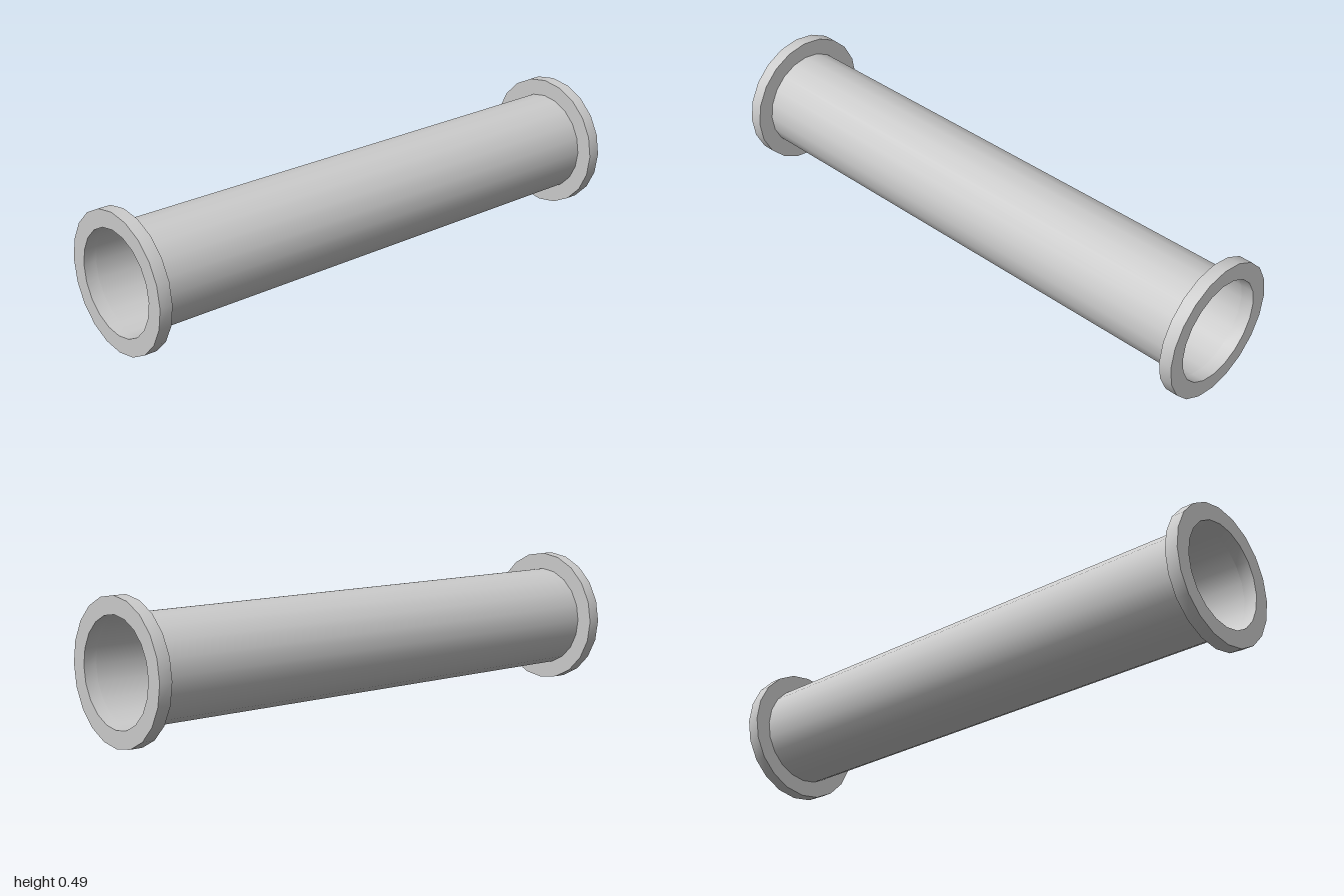
import * as THREE from 'three';
import { toCreasedNormals } from 'three/addons/utils/BufferGeometryUtils.js';

const SIDES = 20;
const OUTER = 0.243; // flange radius
const BORE = 0.183;  // pipe radius
const THICK = 0.046; // flange thickness

export function createModel() {
  const group = new THREE.Group();
  group.name = 'flangedPipe';
  const material = new THREE.MeshStandardMaterial({ color: 0xcccccc });
  const thinMaterial = new THREE.MeshStandardMaterial({ color: 0xcccccc, side: THREE.DoubleSide });

  // Thin open pipe between the flanges
  const pipeGeometry = new THREE.CylinderGeometry(BORE, BORE, 2 - 2 * THICK, SIDES, 1, true);
  pipeGeometry.rotateZ(Math.PI / 2);
  const pipe = new THREE.Mesh(pipeGeometry, thinMaterial);
  pipe.name = 'pipe';
  pipe.position.y = OUTER;
  group.add(pipe);

  // Flat ring with a square section, smooth around and sharp at its edges
  const h = THICK / 2;
  const section = [[OUTER, -h], [OUTER, h], [BORE, h], [BORE, -h], [OUTER, -h]]
    .map(([r, y]) => new THREE.Vector2(r, y));
  const ringGeometry = toCreasedNormals(new THREE.LatheGeometry(section, SIDES), Math.PI / 6);
  ringGeometry.rotateZ(Math.PI / 2);

  for (const side of [1, -1]) {
    const flange = new THREE.Mesh(ringGeometry, material);
    flange.name = side > 0 ? 'leftFlange' : 'rightFlange';
    flange.position.set(side * (1 - h), OUTER, 0);
    group.add(flange);
  }
  return group;
}
